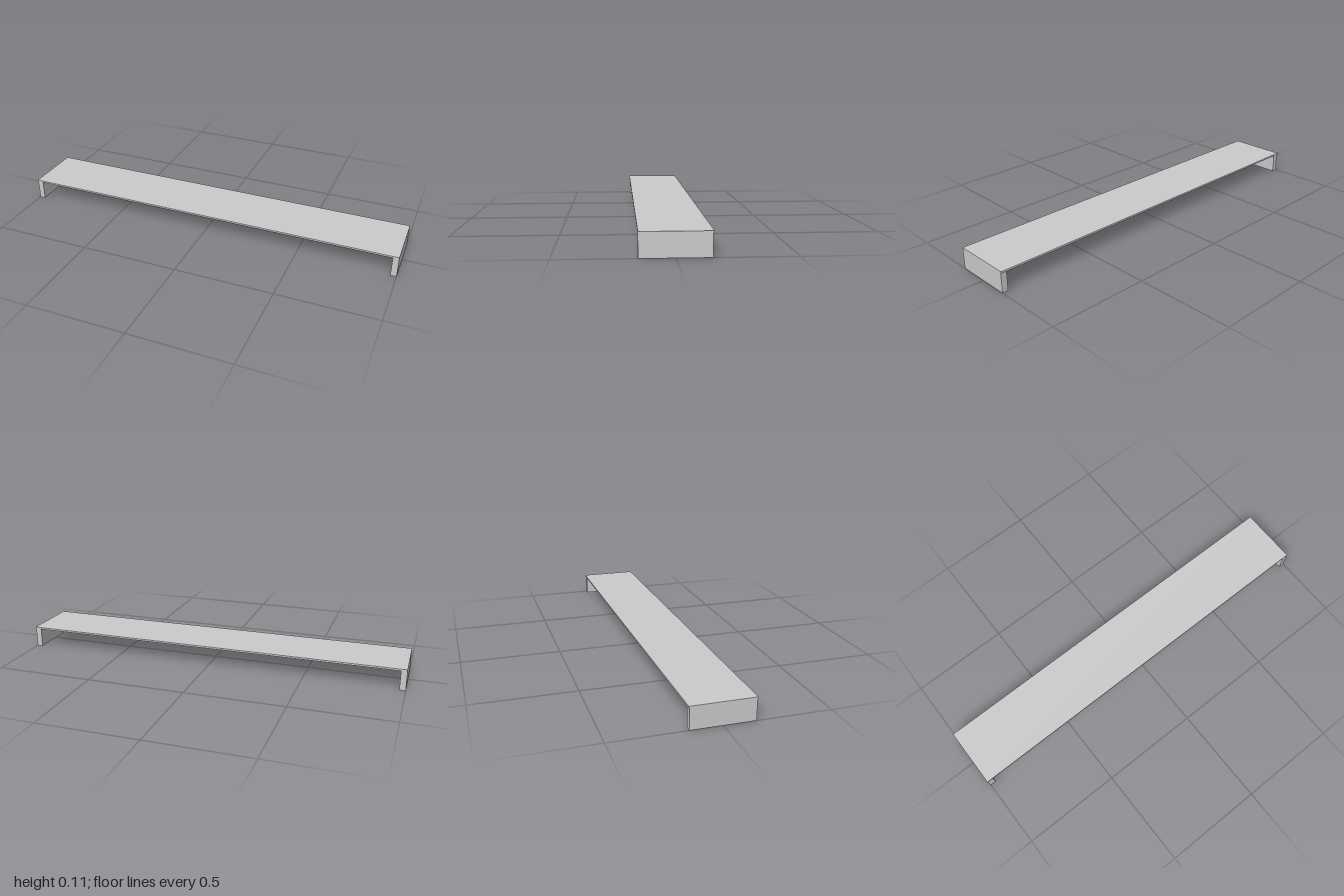
import * as THREE from 'three';

export function createModel() {
  const group = new THREE.Group();
  const material = new THREE.MeshStandardMaterial({ color: 0xcccccc, flatShading: true });

  // Adds a box spanning the given ranges on each axis
  const addBox = (name, [x0, x1], [y0, y1], [z0, z1]) => {
    const mesh = new THREE.Mesh(new THREE.BoxGeometry(x1 - x0, y1 - y0, z1 - z0), material);
    mesh.position.set((x0 + x1) / 2, (y0 + y1) / 2, (z0 + z1) / 2);
    mesh.name = name;
    group.add(mesh);
  };

  const height = 0.109, underside = 0.1, depth = 0.152, legWidth = 0.03;

  // Thin long shelf board
  addBox('shelfBoard', [-1, 1], [underside, height], [-depth, depth]);

  // End panels, set slightly in under the board
  addBox('leftLeg', [1 - legWidth, 1], [0, underside], [-0.148, depth]);
  addBox('rightLeg', [-1, -1 + legWidth], [0, underside], [-0.148, 0.149]);

  return group;
}
